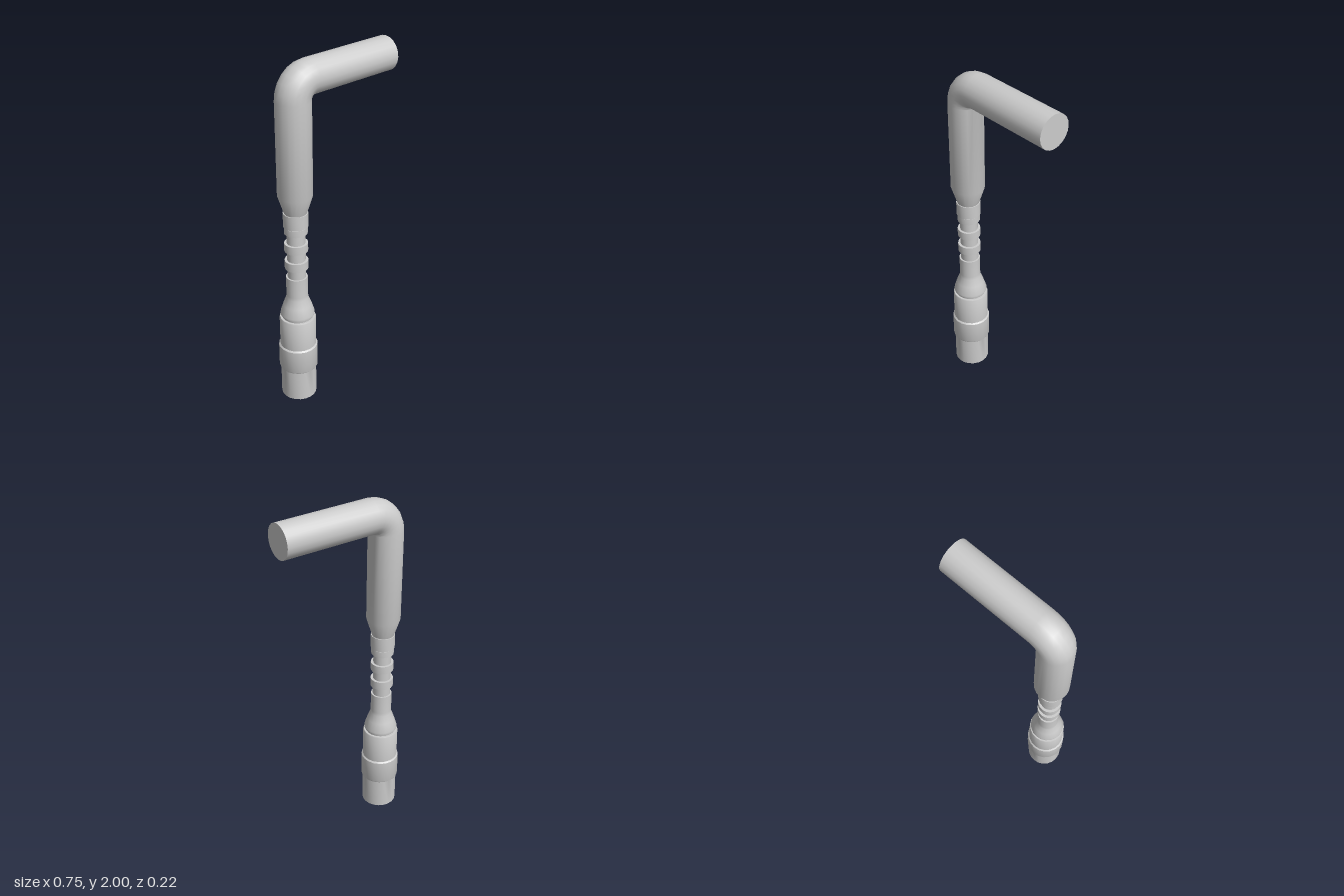
import * as THREE from 'three';
import { toCreasedNormals } from 'three/addons/utils/BufferGeometryUtils.js';

const SIDES = 20;
const AXIS_X = -0.27;

export function createModel() {
  const group = new THREE.Group();
  const material = new THREE.MeshStandardMaterial({ color: 0xcccccc, side: THREE.DoubleSide });

  const add = (name, geometry) => {
    const mesh = new THREE.Mesh(toCreasedNormals(geometry, 0.6), material);
    mesh.name = name;
    group.add(mesh);
    return mesh;
  };

  // Turned part around the upright axis, from [radius, height] points
  const turned = (name, points) => {
    const profile = points.map(([r, y]) => new THREE.Vector2(r, y));
    add(name, new THREE.LatheGeometry(profile, SIDES)).position.x = AXIS_X;
  };

  // Open connector sleeve with its raised grip band
  turned('connectorSleeve', [
    [0.101, 0], [0.101, 0.19], [0.107, 0.19], [0.11, 0.197], [0.11, 0.335],
    [0.102, 0.343], [0.102, 0.52], [0.099, 0.526], [0.088, 0.526],
  ]);

  // Seam groove and flared boot above the sleeve
  turned('flaredBoot', [
    [0.088, 0.526], [0.09, 0.542], [0.096, 0.542], [0.096, 0.552],
    [0.079, 0.605], [0.062, 0.65], [0.06, 0.67], [0.06, 0.783], [0.051, 0.783],
  ]);

  // Strain relief: thin neck with rings
  turned('strainReliefNeck', [[0.051, 0.783], [0.051, 1.06]]);
  for (const [low, high, r] of [[0.839, 0.889, 0.065], [0.947, 0.995, 0.065], [1.055, 1.093, 0.064]]) {
    turned('strainReliefRing', [[0.05, low], [r, low], [r, high], [0.05, high]]);
  }
  turned('upperCollar', [[0.05, 1.097], [0.068, 1.097], [0.068, 1.178], [0.05, 1.178]]);

  // Bent tube: cross-sections as [x, y, bend angle, radius]
  const R = 0.095, BEND = 0.1, TOP = 2 - R, END = 0.375;
  const sections = [[AXIS_X, 1.175, 0, 0.062], [AXIS_X, 1.28, 0, R]];
  for (let i = 0; i <= 6; i++) {
    const a = (i / 6) * Math.PI / 2;
    sections.push([AXIS_X + BEND * (1 - Math.cos(a)), TOP - BEND + BEND * Math.sin(a), a, R]);
  }
  sections.push([END, TOP, Math.PI / 2, R]);

  const positions = [], index = [];
  sections.forEach(([x, y, a, r], s) => {
    for (let i = 0; i < SIDES; i++) {
      const t = (i / SIDES) * Math.PI * 2;
      const u = r * Math.cos(t);
      positions.push(x + u * Math.cos(a), y - u * Math.sin(a), r * Math.sin(t));
      if (s === sections.length - 1) continue;
      const p = s * SIDES + i, q = s * SIDES + (i + 1) % SIDES;
      index.push(p, p + SIDES, q, q, p + SIDES, q + SIDES);
    }
  });
  const tube = new THREE.BufferGeometry();
  tube.setAttribute('position', new THREE.Float32BufferAttribute(positions, 3));
  tube.setIndex(index);
  add('bentTube', tube);

  // Flat end of the arm
  const cap = add('tubeEndCap', new THREE.CircleGeometry(R, SIDES).rotateY(Math.PI / 2));
  cap.position.set(END, TOP, 0);

  return group;
}
